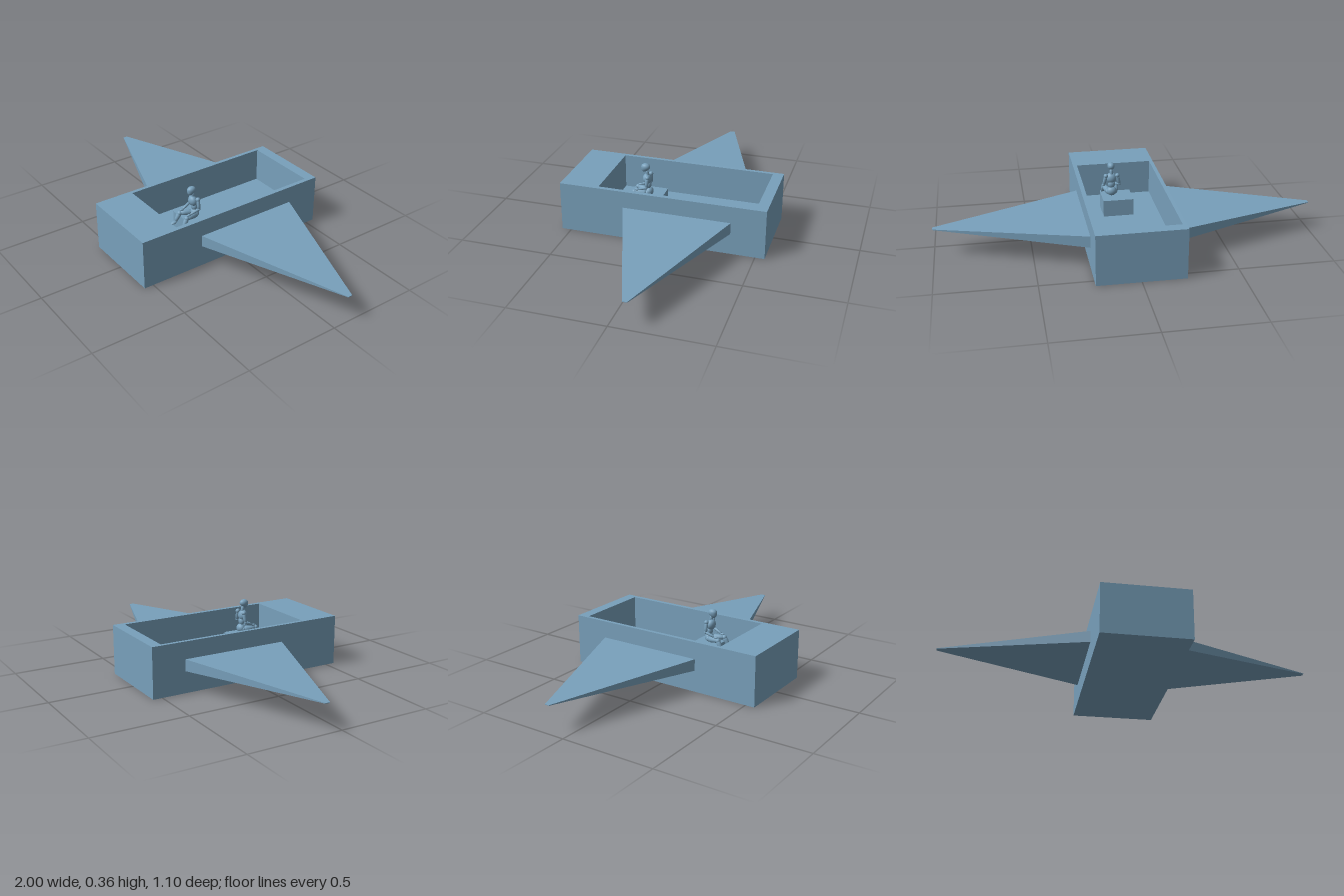
import * as THREE from 'three';

const material = new THREE.MeshStandardMaterial({ color: 0x78a0bb });
const V = (x, y, z) => new THREE.Vector3(x, y, z);

function add(parent, name, geometry, position) {
  const mesh = new THREE.Mesh(geometry, material);
  mesh.name = name;
  if (position) mesh.position.copy(position);
  parent.add(mesh);
  return mesh;
}

// Box given by its lowest and highest corners
function boxBetween(parent, name, a, b) {
  const size = b.clone().sub(a);
  return add(parent, name, new THREE.BoxGeometry(size.x, size.y, size.z), a.clone().add(b).multiplyScalar(0.5));
}

// Counter-clockwise rectangle in plan, with z running down the page
function rectangle(path, x0, x1, z0, z1) {
  path.moveTo(x0, -z1);
  path.lineTo(x1, -z1);
  path.lineTo(x1, -z0);
  path.lineTo(x0, -z0);
  path.closePath();
  return path;
}

// Tapered wing: a box whose outer end shrinks to a thin tip
function wingGeometry(side) {
  const geometry = new THREE.BoxGeometry(1, 1, 1);
  const p = geometry.attributes.position;
  for (let i = 0; i < p.count; i++) {
    const tip = p.getX(i) * side > 0;
    const y = p.getY(i), z = p.getZ(i);
    if (tip) p.setXYZ(i, side, 0.146 + y * 0.003, -0.085 + z * 0.024);
    else p.setXYZ(i, side * 0.224, 0.146 + y * 0.062, -0.083 + z * 0.575);
  }
  geometry.computeVertexNormals();
  return geometry;
}

function ellipsoid(parent, name, position, rx, ry, rz, tilt = 0) {
  const mesh = add(parent, name, new THREE.SphereGeometry(1, 20, 14), position);
  mesh.scale.set(rx, ry, rz);
  mesh.rotation.x = tilt;
  return mesh;
}

// Egg-shaped head, narrowing and reaching forward to the chin
function headGeometry() {
  const geometry = new THREE.SphereGeometry(1, 24, 18);
  const p = geometry.attributes.position;
  for (let i = 0; i < p.count; i++) {
    const y = p.getY(i);
    const taper = 1 + 0.22 * y;
    const chin = Math.max(0, -y) * 0.008;
    p.setXYZ(i, p.getX(i) * taper * 0.0185, y * 0.0235, p.getZ(i) * taper * 0.0235 + chin);
  }
  geometry.computeVertexNormals();
  return geometry;
}

// Rounded, tapered limb between two joints
function limb(parent, name, a, b, r0, r1) {
  const length = a.distanceTo(b);
  const profile = [[0, 0], [r0 * 0.8, 0.03], [r0, 0.25], [(r0 + r1) / 2, 0.6], [r1, 0.92], [0, 1]]
    .map(([r, t]) => new THREE.Vector2(r, t * length));
  const mesh = add(parent, name, new THREE.LatheGeometry(profile, 14), a);
  mesh.quaternion.setFromUnitVectors(V(0, 1, 0), b.clone().sub(a).normalize());
}

// Seated jointed figure, centred on its own x = 0
function createPilot() {
  const pilot = new THREE.Group();
  pilot.name = 'pilot';

  add(pilot, 'head', headGeometry(), V(0, 0.332, 0.138));
  limb(pilot, 'neck', V(0, 0.285, 0.126), V(0, 0.322, 0.133), 0.009, 0.008);

  // Torso
  ellipsoid(pilot, 'chest', V(0, 0.27, 0.13), 0.028, 0.029, 0.022, 0.2);
  ellipsoid(pilot, 'waist', V(0, 0.236, 0.123), 0.019, 0.022, 0.015);
  ellipsoid(pilot, 'pelvis', V(0, 0.198, 0.119), 0.027, 0.025, 0.022);

  for (const side of [-1, 1]) {
    const at = (x, y, z) => V(side * x, y, z);
    // Arm reaching forward to the thigh
    const shoulder = at(0.031, 0.287, 0.119), elbow = at(0.043, 0.236, 0.122), wrist = at(0.034, 0.217, 0.17);
    ellipsoid(pilot, 'shoulder', shoulder, 0.012, 0.012, 0.012);
    limb(pilot, 'upperArm', shoulder, elbow, 0.01, 0.008);
    ellipsoid(pilot, 'elbow', elbow, 0.008, 0.008, 0.008);
    limb(pilot, 'forearm', elbow, wrist, 0.008, 0.006);
    ellipsoid(pilot, 'hand', at(0.033, 0.215, 0.178), 0.007, 0.006, 0.012);

    // Bent leg with the foot over the seat's front edge
    const hip = at(0.017, 0.194, 0.126), knee = at(0.033, 0.2, 0.192), ankle = at(0.037, 0.157, 0.216);
    ellipsoid(pilot, 'hip', hip, 0.015, 0.015, 0.015);
    limb(pilot, 'thigh', hip, knee, 0.017, 0.012);
    ellipsoid(pilot, 'knee', knee, 0.013, 0.013, 0.013);
    limb(pilot, 'shin', knee, ankle, 0.013, 0.009);
    ellipsoid(pilot, 'foot', at(0.038, 0.151, 0.226), 0.011, 0.008, 0.018, 0.2);
  }
  pilot.position.x = 0.043;
  return pilot;
}

export function createModel() {
  const model = new THREE.Group();
  model.name = 'glider';

  // Open hull: outer block with the cabin cut through, closed by a floor
  const outline = rectangle(new THREE.Shape(), -0.227, 0.227, -0.55, 0.55);
  outline.holes.push(rectangle(new THREE.Path(), -0.207, 0.204, -0.493, 0.342));
  const hull = new THREE.ExtrudeGeometry(outline, { depth: 0.268, bevelEnabled: false });
  hull.rotateX(-Math.PI / 2);
  add(model, 'hull', hull);
  boxBetween(model, 'cabinFloor', V(-0.207, 0, -0.493), V(0.204, 0.08, 0.342));

  boxBetween(model, 'seat', V(-0.065, 0.08, 0.049), V(0.098, 0.171, 0.182));

  add(model, 'leftWing', wingGeometry(1));
  add(model, 'rightWing', wingGeometry(-1));

  model.add(createPilot());
  return model;
}
